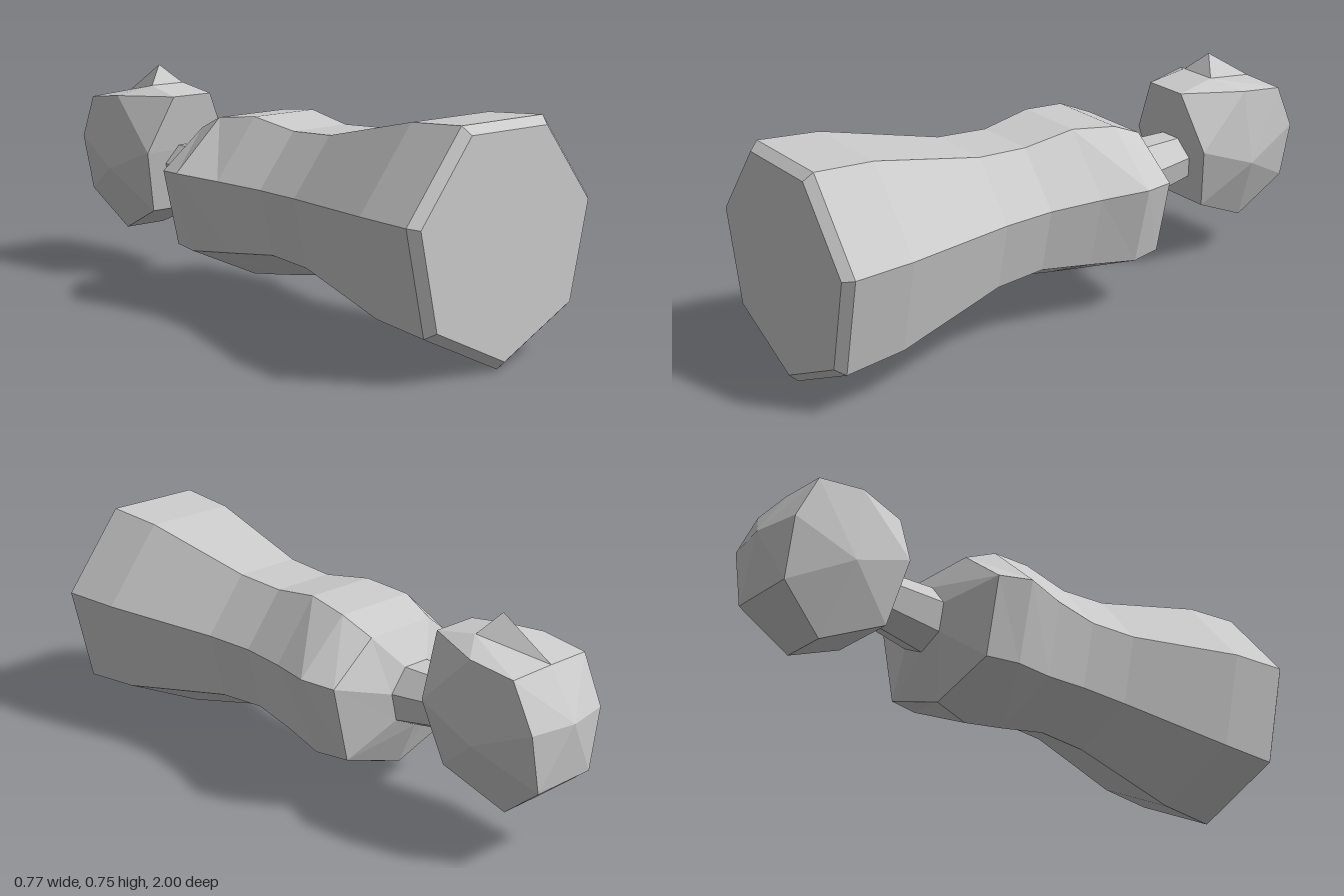
import * as THREE from 'three';
import { ConvexGeometry } from 'three/addons/geometries/ConvexGeometry.js';

const material = new THREE.MeshStandardMaterial({ color: 0xcccccc, flatShading: true });

// Seven-sided ring, point down: half-width radius plus the heights of its four levels
function ring(z, r, top, mid, low, bottom) {
  const xs = [0, 0.782, 0.975, 0.434];
  const ys = [bottom, low, mid, top];
  const right = xs.map((x, i) => [x * r, ys[i], z]);
  const left = right.slice(1).reverse().map(([x, y, w]) => [-x, y, w]);
  return [...right, ...left];
}

// Regular heptagon ring around the height y
const regular = (z, r, y) => ring(z, r, y + 0.901 * r, y + 0.2225 * r, y - 0.623 * r, y - r);

// Skin a list of rings running from front to back and close both ends
function loft(rings) {
  const n = 7;
  const index = [];
  const points = rings.flat();
  for (let i = 0; i < rings.length - 1; i++) {
    for (let j = 0; j < n; j++) {
      const a = i * n + j, b = i * n + (j + 1) % n;
      index.push(a, a + n, b, b, a + n, b + n);
    }
  }
  const last = (rings.length - 1) * n;
  for (let j = 1; j < n - 1; j++) {
    index.push(0, j, j + 1, last, last + j + 1, last + j);
  }
  const geometry = new THREE.BufferGeometry();
  geometry.setAttribute('position', new THREE.Float32BufferAttribute(points.flat(), 3));
  geometry.setIndex(index);
  const flat = geometry.toNonIndexed();
  flat.computeVertexNormals();
  return flat;
}

// Convex solid from one side's points, mirrored in x
function mirroredHull(points) {
  const all = [];
  for (const [x, y, z] of points) {
    all.push(new THREE.Vector3(x, y, z));
    if (x > 0) all.push(new THREE.Vector3(-x, y, z));
  }
  return new ConvexGeometry(all);
}

export function createModel() {
  const group = new THREE.Group();
  const add = (name, geometry) => {
    const mesh = new THREE.Mesh(geometry, material);
    mesh.name = name;
    group.add(mesh);
  };

  // Robe-like body: bevelled base, narrow waist, wide shoulders
  add('body', loft([
    regular(1.0, 0.365, 0.395),
    regular(0.97, 0.3945, 0.3945),
    regular(0.76, 0.376, 0.396),
    regular(0.35, 0.271, 0.396),
    regular(0.17, 0.259, 0.397),
    regular(-0.01, 0.291, 0.396),
    ring(-0.17, 0.338, 0.64, 0.47, 0.2, 0.08),
    ring(-0.285, 0.305, 0.59, 0.46, 0.2, 0.12),
    regular(-0.355, 0.113, 0.386),
  ]));

  // Neck, running into the head
  add('neck', loft([
    regular(-0.35, 0.113, 0.386),
    regular(-0.57, 0.09, 0.405),
    regular(-0.65, 0.088, 0.408),
  ]));

  // Faceted head with the face turned upward
  add('head', mirroredHull([
    [0.08, 0.665, -0.515], // chin
    [0.07, 0.69, -0.66],   // mouth
    [0.17, 0.655, -0.73],  // cheek
    [0.165, 0.635, -0.895], // brow
    [0, 0.64, -0.9],
    [0.175, 0.47, -0.545], // jaw
    [0.19, 0.39, -0.76],   // side
    [0.16, 0.48, -0.97],   // crown
    [0, 0.48, -1.0],
    [0.12, 0.28, -0.97],
    [0.08, 0.15, -0.81],   // back of head
    [0.12, 0.25, -0.59],   // nape
  ]));

  // Wedge-shaped nose
  add('nose', mirroredHull([
    [0, 0.755, -0.71],
    [0.07, 0.688, -0.66],
    [0, 0.64, -0.9],
  ]));

  return group;
}
